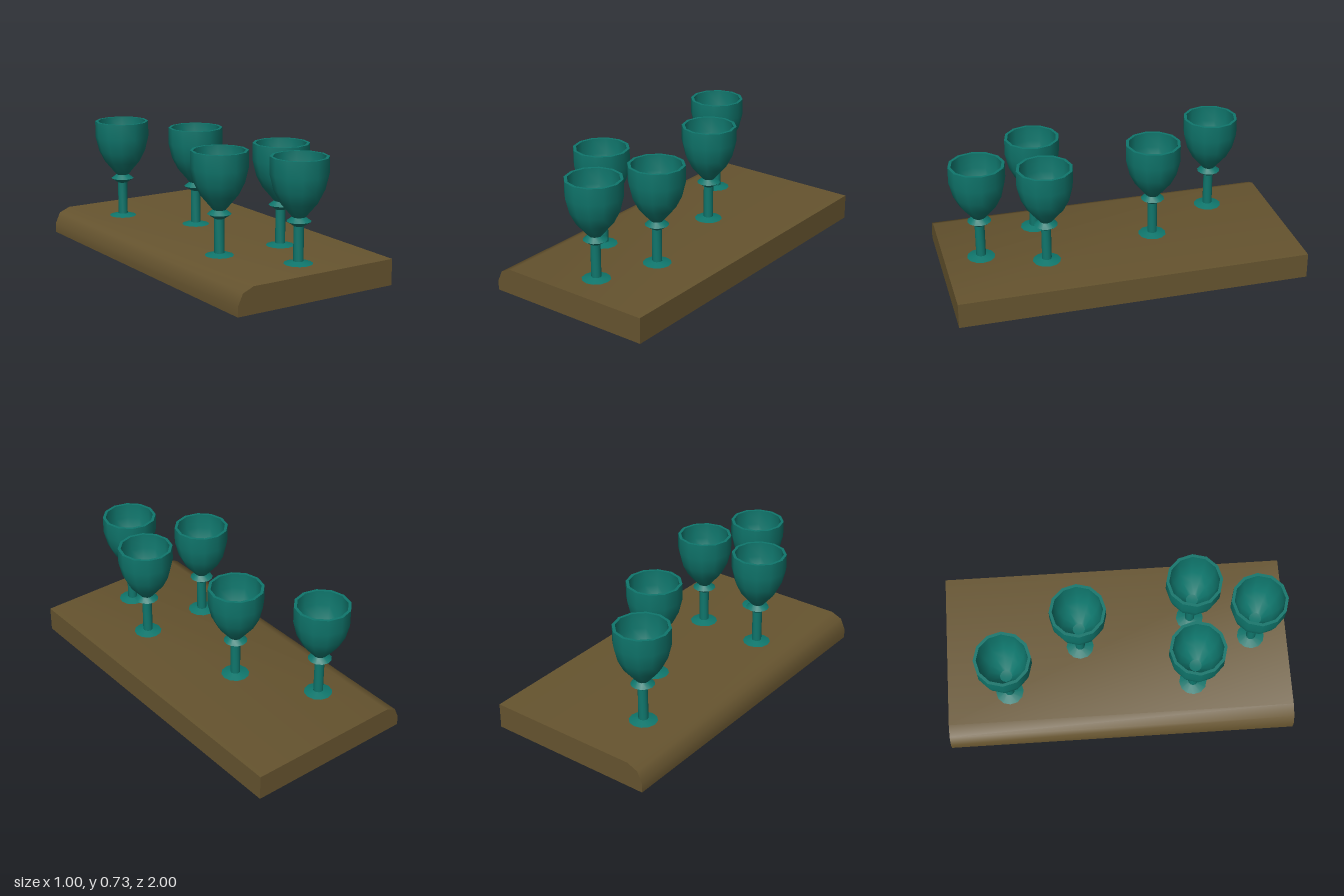
import * as THREE from 'three';
import { toCreasedNormals } from 'three/addons/utils/BufferGeometryUtils.js';

const BOARD_TOP = 0.147;
const vectors = (pairs) => pairs.map(([x, y]) => new THREE.Vector2(x, y));

export function createModel() {
  const model = new THREE.Group();
  model.name = 'gobletsOnShelf';

  const wood = new THREE.MeshStandardMaterial({ color: 0x66542f });
  wood.name = 'brownWood';
  const teal = new THREE.MeshStandardMaterial({ color: 0x0f766c });
  teal.name = 'tealGlaze';

  // Board: slab with one long edge rounded over
  const profile = new THREE.Shape(vectors([
    [-0.5, 0], [0.5, 0], [0.5, BOARD_TOP], [-0.405, BOARD_TOP], [-0.47, 0.12], [-0.5, 0.055],
  ]));
  const slab = new THREE.ExtrudeGeometry(profile, { depth: 2, bevelEnabled: false });
  slab.translate(0, 0, -1);
  const board = new THREE.Mesh(toCreasedNormals(slab, 0.87), wood);
  board.name = 'board';
  model.add(board);

  // Goblet parts, turned with twelve sides
  const turn = (pairs) => toCreasedNormals(new THREE.LatheGeometry(vectors(pairs), 12), 0.6);
  const parts = {
    foot: turn([[0, BOARD_TOP], [0.08, BOARD_TOP], [0.028, 0.16]]),
    stem: turn([[0.028, 0.158], [0.028, 0.352]]),
    knob: turn([[0.026, 0.35], [0.067, 0.377], [0.036, 0.4]]),
    bowl: turn([
      [0.036, 0.4], [0.104, 0.48], [0.137, 0.545], [0.158, 0.632], [0.158, 0.725],
      [0.141, 0.725], [0.141, 0.635], [0.122, 0.555], [0.09, 0.493], [0.035, 0.43], [0, 0.425],
    ]),
  };

  // Five goblets standing on the board
  const places = [[-0.223, -0.64], [0.03, -0.217], [-0.23, 0.427], [0.167, 0.44], [0.03, 0.79]];
  places.forEach(([x, z], i) => {
    const goblet = new THREE.Group();
    goblet.name = `goblet${i + 1}`;
    for (const [name, geometry] of Object.entries(parts)) {
      const mesh = new THREE.Mesh(geometry, teal);
      mesh.name = name;
      goblet.add(mesh);
    }
    goblet.position.set(x, 0, z);
    model.add(goblet);
  });

  return model;
}
